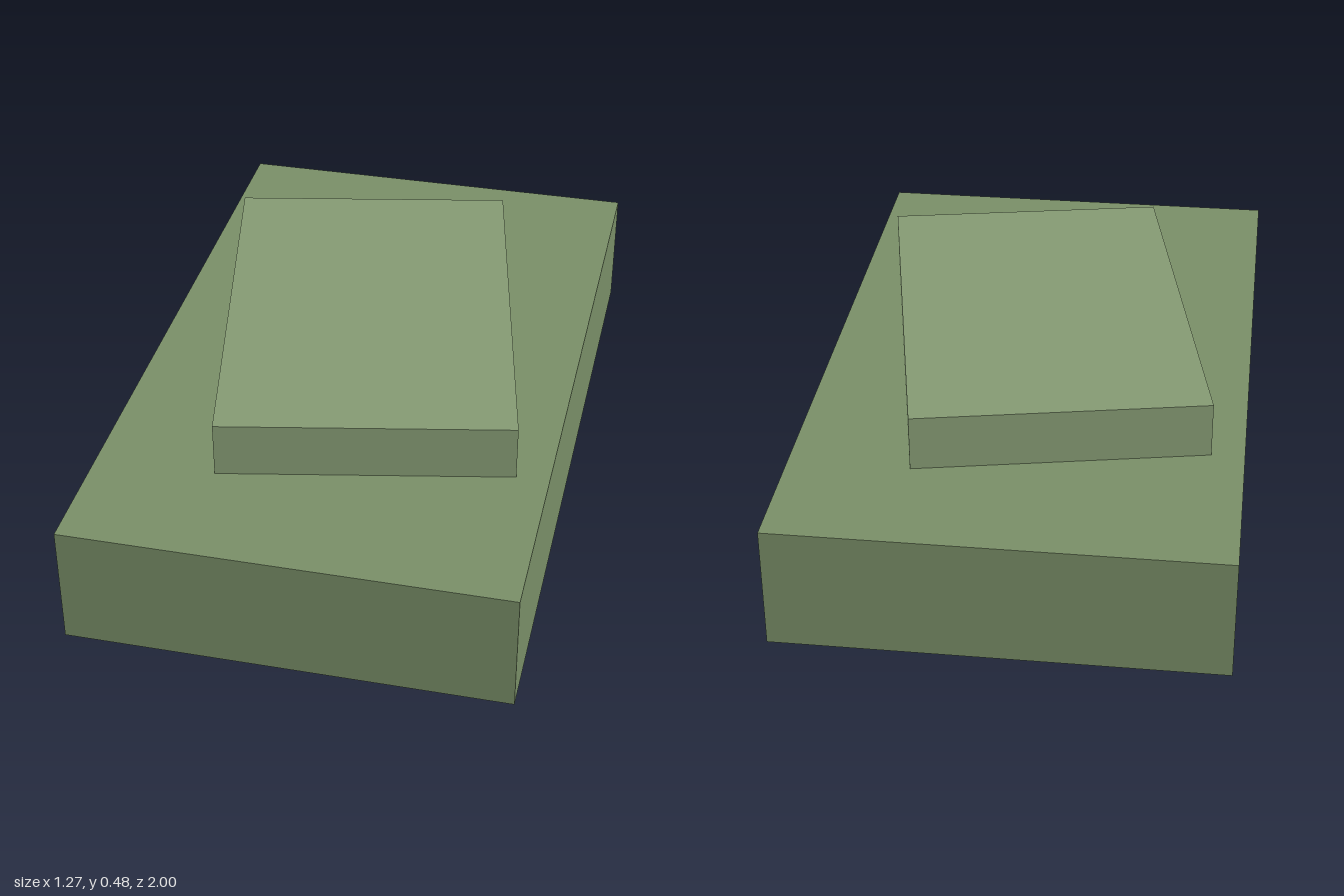
import * as THREE from 'three';

// Box slab resting at height y, turned about the vertical axis
function slab(name, [w, h, d], y, turn, color) {
  const material = new THREE.MeshStandardMaterial({ color });
  const mesh = new THREE.Mesh(new THREE.BoxGeometry(w, h, d), material);
  mesh.name = name;
  mesh.position.y = y + h / 2;
  mesh.rotation.y = turn;
  return mesh;
}

export function createModel() {
  const group = new THREE.Group();
  group.name = 'steppedSlabs';

  const baseHeight = 0.329;
  // Large lower slab
  group.add(slab('baseSlab', [1.157, baseHeight, 1.933], 0, 0.06, 0x7a9068));
  // Smaller upper slab, turned further
  group.add(slab('upperSlab', [0.77, 0.148, 1.159], baseHeight, 0.26, 0x869b74));

  return group;
}
